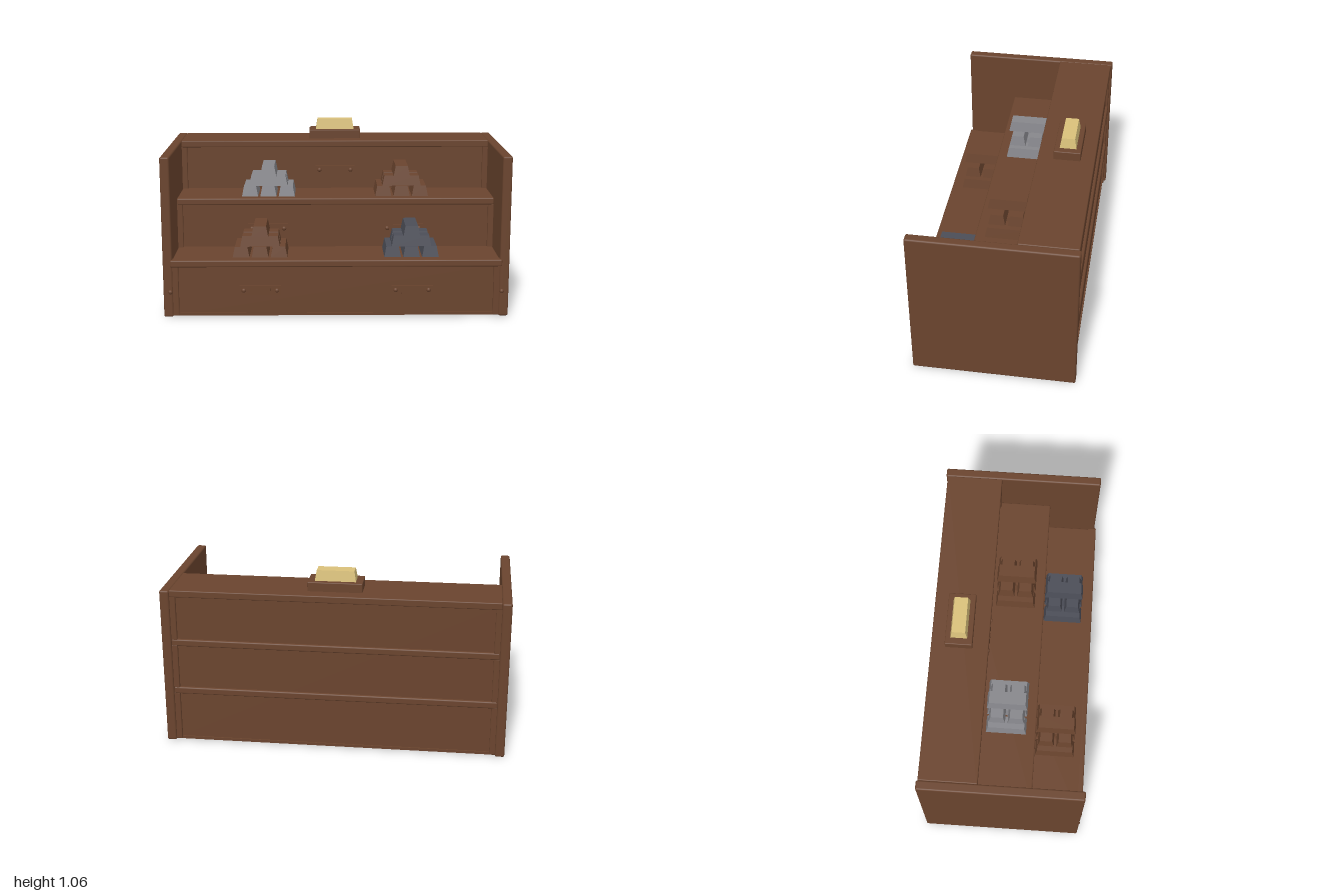
import * as THREE from 'three';
import { RoundedBoxGeometry } from 'three/addons/geometries/RoundedBoxGeometry.js';

const mat = (name, color) => Object.assign(new THREE.MeshStandardMaterial({ color }), { name });

export function createModel() {
  const wood = mat('brown wood', 0x6a442e);
  const gold = mat('gold', 0xd9c07a);
  const silver = mat('silver', 0x86868b);
  const iron = mat('dark iron', 0x4b4d57);

  const model = new THREE.Group();
  model.name = 'tieredDisplayCounter';

  const add = (parent, name, geometry, material) => {
    const mesh = new THREE.Mesh(geometry, material);
    mesh.name = name;
    parent.add(mesh);
    return mesh;
  };

  // Wooden block given by its extents, with optional softened edges
  const block = (name, [x0, x1], [y0, y1], [z0, z1], round = 0, parent = model) => {
    const s = [x1 - x0, y1 - y0, z1 - z0];
    const g = round ? new RoundedBoxGeometry(...s, 2, round) : new THREE.BoxGeometry(...s);
    g.translate((x0 + x1) / 2, (y0 + y1) / 2, (z0 + z1) / 2);
    return add(parent, name, g, wood);
  };

  // Ingot: a box whose top is narrower than its base, standing on y = 0
  const ingotGeometry = (w, h, d, inset) => {
    const g = new THREE.BoxGeometry(w, h, d).translate(0, h / 2, 0);
    const p = g.attributes.position;
    for (let i = 0; i < p.count; i++) {
      if (p.getY(i) < h / 2) continue;
      p.setX(i, p.getX(i) - Math.sign(p.getX(i)) * inset);
      p.setZ(i, p.getZ(i) - Math.sign(p.getZ(i)) * inset);
    }
    const flat = g.toNonIndexed();
    flat.computeVertexNormals();
    return flat;
  };

  const bolt = (x, y, z, parent = model) => {
    const g = new THREE.SphereGeometry(0.013, 10, 8).scale(1, 1, 0.8);
    add(parent, 'bolt', g, wood).position.set(x, y, z);
  };

  // Side panels with a bolt near the foot
  for (const s of [-1, 1]) {
    const x = s < 0 ? [-1, -0.945] : [0.945, 1];
    block('sidePanel', x, [0, 0.94], [-0.475, 0.464], 0.01);
    bolt(s * 0.96, 0.15, 0.464);
  }

  // Shelves, stepping forward toward the bottom
  block('topShelf', [-0.946, 0.946], [0.9, 0.941], [-0.466, -0.134], 0.006);
  block('middleShelf', [-0.946, 0.946], [0.6, 0.641], [-0.464, 0.168], 0.008);
  block('lowerShelf', [-0.946, 0.946], [0.3, 0.341], [-0.464, 0.455], 0.008);
  block('lowerShelfLip', [-0.957, 0.957], [0.3, 0.341], [0.42, 0.475], 0.008);
  block('floorBoard', [-0.946, 0.946], [0.004, 0.02], [-0.455, 0.45]);

  // Back board and the front riser of each tier, framed by posts
  block('backBoard', [-0.946, 0.946], [0.005, 0.92], [-0.447, -0.425]);
  const tiers = [
    { y: [0.635, 0.905], z: -0.152 },
    { y: [0.335, 0.605], z: 0.148 },
    { y: [0.005, 0.305], z: 0.445 },
  ];
  for (const { y, z } of tiers) {
    block('riser', [-0.946, 0.946], y, [z - 0.02, z]);
    for (const x of [[-0.948, -0.912], [0.912, 0.948]]) {
      block('frontPost', x, y, [z - 0.01, z + 0.014], 0.005);
      block('backPost', x, y, [-0.462, -0.44], 0.005);
    }
  }

  // Small bolted plaques with raised strips
  const plaque = (x, y, z, strips) => {
    const g = new THREE.Group();
    g.name = 'plaque';
    g.position.set(x, y, z);
    model.add(g);
    block('plaquePlate', [-0.12, 0.12], [-0.027, 0.027], [-0.004, 0.009], 0, g);
    for (const s of [-1, 1]) bolt(s * 0.096, 0, 0.01, g);
    for (const [a, b] of strips) block('plaqueStrip', [a, b], [-0.024, 0.024], [0, 0.013], 0, g);
  };
  plaque(0, 0.757, -0.152, [[-0.045, -0.028], [-0.02, -0.004], [0.004, 0.02], [0.028, 0.045]]);
  for (const s of [-1, 1]) {
    plaque(s * 0.405, 0.455, 0.148, [[-0.06, -0.002], [0.002, 0.06]]);
    plaque(s * 0.44, 0.156, 0.445, [[-0.06, -0.002], [0.002, 0.06]]);
  }

  // Ingot stacks: three lengthwise, two crosswise, one on top
  const along = ingotGeometry(0.097, 0.061, 0.236, 0.012);
  const across = ingotGeometry(0.23, 0.061, 0.097, 0.012);
  const stack = (name, material, x, y, z) => {
    const g = new THREE.Group();
    g.name = name;
    g.position.set(x, y, z);
    model.add(g);
    for (const i of [-1, 0, 1]) add(g, 'bottomIngot', along, material).position.x = i * 0.11;
    for (const i of [-1, 1]) add(g, 'crossIngot', across, material).position.set(0, 0.061, i * 0.056);
    add(g, 'topIngot', along, material).position.y = 0.122;
  };
  stack('silverStack', silver, -0.403, 0.641, -0.007);
  stack('copperStack', wood, 0.397, 0.641, -0.007);
  stack('bronzeStack', wood, -0.442, 0.341, 0.289);
  stack('ironStack', iron, 0.438, 0.341, 0.289);

  // Gold ingot on its plinth
  block('plinth', [-0.158, 0.158], [0.935, 0.995], [-0.384, -0.227], 0.005);
  add(model, 'goldIngot', ingotGeometry(0.236, 0.061, 0.097, 0.01), gold).position.set(0, 0.995, -0.306);

  return model;
}
